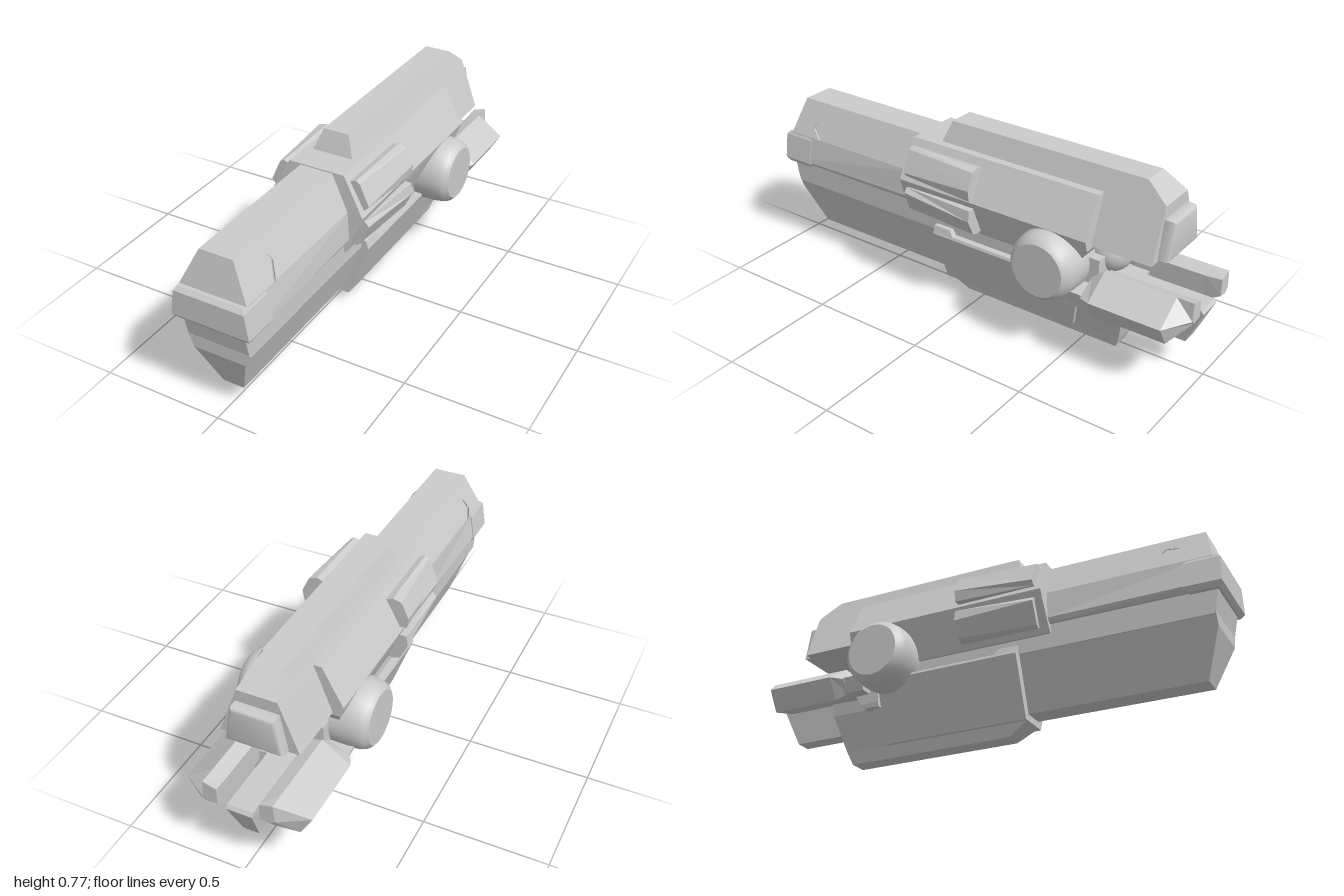
import * as THREE from 'three';
import { toCreasedNormals } from 'three/addons/utils/BufferGeometryUtils.js';

const flat = new THREE.MeshStandardMaterial({ color: 0xcccccc, flatShading: true });
const smooth = new THREE.MeshStandardMaterial({ color: 0xcccccc });

// Closed solid through rings of [x, y, z]; rings run counterclockwise seen from the last ring
function loft(name, rings, side = 1) {
  const n = rings[0].length, pos = [], idx = [];
  for (const ring of rings) {
    const pts = ring.map(([x, y, z]) => [x * side, y, z]);
    if (side < 0) pts.reverse();
    pts.forEach(p => pos.push(...p));
  }
  for (let r = 0; r < rings.length - 1; r++) {
    for (let i = 0; i < n; i++) {
      const a = r * n + i, b = r * n + (i + 1) % n;
      idx.push(a, b, b + n, a, b + n, a + n);
    }
  }
  const top = (rings.length - 1) * n;
  for (let i = 1; i < n - 1; i++) idx.push(0, i + 1, i, top, top + i, top + i + 1);
  const g = new THREE.BufferGeometry();
  g.setAttribute('position', new THREE.Float32BufferAttribute(pos, 3));
  g.setIndex(idx);
  const flatGeo = g.toNonIndexed();
  flatGeo.computeVertexNormals();
  const mesh = new THREE.Mesh(flatGeo, flat);
  mesh.name = name;
  return mesh;
}

// Symmetric hull from horizontal rows: [y, half width, front z, back z, half width at back]
function hull(name, rows) {
  return loft(name, rows.map(([y, w, f, b, wb = w]) => [[w, y, f], [wb, y, b], [-wb, y, b], [-w, y, f]]));
}

// Ring of [x, y] points at one z
const at = (z, pts) => pts.map(([x, y]) => [x, y, z]);

export function createModel() {
  const model = new THREE.Group();
  model.name = 'blaster';

  // Barrel group
  model.add(
    hull('upperBarrel', [
      [0.40, 0.14, 0.95, 0.28], [0.42, 0.16, 0.97, 0.28, 0.15],
      [0.535, 0.14, 0.97, 0.28], [0.68, 0.07, 0.935, 0.28]]),
    hull('muzzle', [
      [0.395, 0.15, 0.985, 0.87], [0.415, 0.163, 1.0, 0.855],
      [0.52, 0.146, 1.0, 0.855], [0.535, 0.138, 0.985, 0.87]]),
    hull('core', [[0.30, 0.13, 0.955, -0.6], [0.315, 0.13, 0.96, -0.6], [0.42, 0.13, 0.982, -0.6]]),
    hull('lowerBarrel', [
      [0.078, 0.045, 0.89, 0.1], [0.26, 0.11, 0.96, 0.1], [0.313, 0.13, 0.96, 0.1]])
  );

  // Receiver with top rail and rear block
  model.add(
    hull('receiver', [
      [0.36, 0.14, 0.31, -0.5], [0.48, 0.19, 0.302, -0.58],
      [0.525, 0.205, 0.30, -0.58], [0.685, 0.12, 0.29, -0.58]]),
    hull('topRail', [
      [0.49, 0.16, 0.2, -0.83], [0.685, 0.087, 0.17, -0.83],
      [0.70, 0.081, 0.165, -0.83], [0.77, 0.055, 0.14, -0.74]])
  );

  // Rounded cap on the back
  const capShape = new THREE.Shape([[-0.1, 0.51], [0.1, 0.51], [0.075, 0.635], [-0.075, 0.635]]
    .map(p => new THREE.Vector2(...p)));
  const capGeo = new THREE.ExtrudeGeometry(capShape, {
    depth: 0.03, bevelSize: 0.015, bevelThickness: 0.015, bevelSegments: 3 });
  const cap = new THREE.Mesh(toCreasedNormals(capGeo, 0.6), smooth);
  cap.position.z = -0.86;
  cap.name = 'rearCap';
  model.add(cap);

  // Lower housing and keel
  model.add(
    hull('lowerHousing', [
      [0.05, 0.07, 0.17, -0.46], [0.19, 0.121, 0.17, -0.50], [0.295, 0.16, 0.17, -0.53],
      [0.306, 0.156, 0.17, -0.53]]),
    hull('housingLip', [[0.30, 0.158, 0.17, 0.07], [0.33, 0.15, 0.17, 0.09]]),
    hull('keel', [
      [0, 0.038, 0.08, -0.64], [0.05, 0.053, 0.165, -0.66],
      [0.2, 0.11, 0.12, -0.70], [0.305, 0.13, 0.12, -0.70]]),
    hull('housingClip', [[0.192, 0.143, -0.46, -0.53], [0.21, 0.147, -0.46, -0.545], [0.31, 0.155, -0.46, -0.6]]),
    hull('tail', [[0.14, 0.033, -0.6, -0.93], [0.295, 0.052, -0.6, -1.0], [0.31, 0.052, -0.6, -0.99]])
  );

  // Round drum across the body, with a ball joint behind it
  const half = [[0, 0.278], [0.11, 0.278], [0.128, 0.262], [0.137, 0.24], [0.142, 0.2]];
  const profile = [...half, ...half.map(([r, x]) => [r, -x]).reverse()].map(p => new THREE.Vector2(...p)).reverse();
  const drum = new THREE.Mesh(toCreasedNormals(new THREE.LatheGeometry(profile, 40), 0.7), smooth);
  drum.rotation.z = Math.PI / 2;
  drum.position.set(0, 0.382, -0.417);
  drum.name = 'sideDrum';
  const ball = new THREE.Mesh(new THREE.SphereGeometry(0.09, 28, 18), smooth);
  ball.position.set(0, 0.41, -0.58);
  ball.name = 'rearBall';
  model.add(drum, ball);

  // Fin cross-sections, thicker toward the back
  const finBack = [[0.17, 0.54], [0.225, 0.542], [0.232, 0.588], [0.2, 0.655], [0.165, 0.665], [0.12, 0.65]];
  const finFront = [[0.17, 0.545], [0.2, 0.547], [0.216, 0.566], [0.176, 0.655], [0.16, 0.665], [0.12, 0.65]];
  const flip = pts => pts.map(([x, y]) => [x, 1.042 - y]).reverse();

  // Rear prong cross-sections
  const prong = [[0.09, 0.26], [0.205, 0.226], [0.255, 0.31], [0.14, 0.39], [0.085, 0.37]];
  const prongTip = [[0.085, 0.305], [0.125, 0.3], [0.145, 0.315], [0.14, 0.39], [0.085, 0.375]];

  // Stud outline as [z, y], lying on the sloped barrel side
  const studOutline = [[0.85, 0.575], [0.835, 0.615], [0.785, 0.625], [0.77, 0.605], [0.805, 0.535]];
  const slopeX = y => 0.14 - (y - 0.535) * 0.48;
  const studRing = (grow, out) => studOutline.map(([z, y]) => {
    const yy = 0.585 + (y - 0.585) * grow, zz = 0.81 + (z - 0.81) * grow;
    return [slopeX(yy) + out, yy, zz];
  });

  for (const s of [1, -1]) {
    model.add(
      loft('upperFin', [at(-0.065, finBack), at(0.27, finFront)], s),
      loft('lowerFin', [at(-0.065, flip(finBack)), at(0.27, flip(finFront))], s),
      loft('rearProng', [at(-1.0, prongTip), at(-0.93, prong), at(-0.63, prong),
        at(-0.58, prong.map(([x, y]) => [0.15 + (x - 0.15) * 0.75, 0.29 + (y - 0.29) * 0.6]))], s),
      loft('prongMount', [-0.64, -0.5].map(z => at(z, [[0.1, 0.25], [0.2, 0.25], [0.225, 0.31], [0.1, 0.31]])), s),
      loft('barrelStud', [studRing(1, -0.02), studRing(1, 0.005), studRing(0.7, 0.016)], s)
    );
  }
  return model;
}
